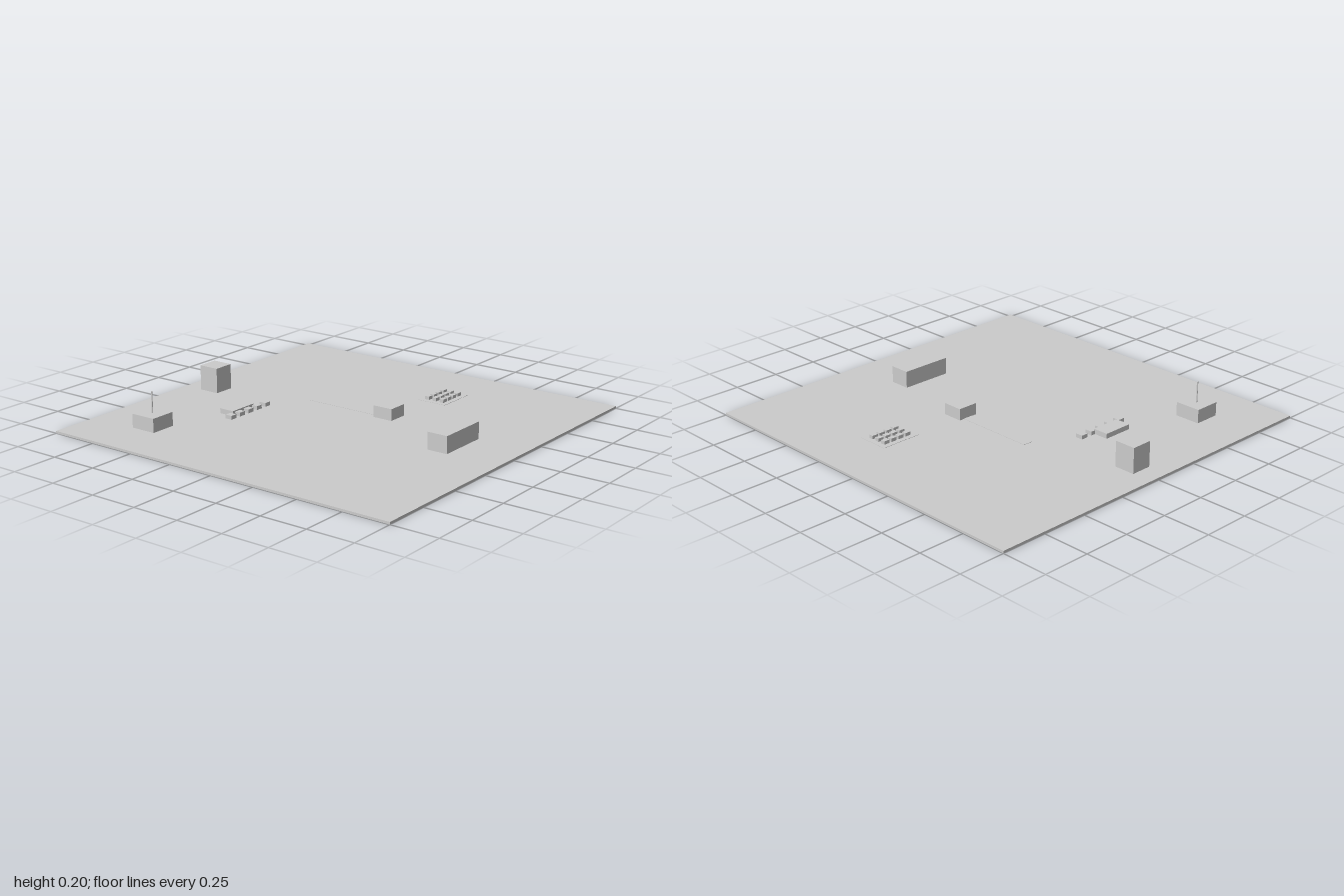
import * as THREE from 'three';

const GROUND = 0.012; // top of the ground slab

export function createModel() {
  const model = new THREE.Group();
  const material = new THREE.MeshStandardMaterial({ color: 0xcccccc, flatShading: true });

  // Box standing on height y0, centred on (x, z), reaching up to height top
  function block(name, x, z, width, depth, top, y0 = GROUND, parent = model) {
    const mesh = new THREE.Mesh(new THREE.BoxGeometry(width, top - y0, depth), material);
    mesh.name = name;
    mesh.position.set(x, (top + y0) / 2, z);
    parent.add(mesh);
    return mesh;
  }

  // Ground slab
  block('ground', 0, 0, 2, 2, GROUND, 0);

  // Large buildings
  block('longHall', 0, 0.662, 0.277, 0.11, 0.101);
  block('backTower', 0, -0.836, 0.112, 0.112, 0.145);
  block('centreBuilding', 0.167, 0.166, 0.11, 0.11, 0.073);

  // Radio building with a thin mast on its roof
  const radio = new THREE.Group();
  radio.name = 'radioBuilding';
  model.add(radio);
  block('radioHouse', -0.667, -0.667, 0.139, 0.139, 0.084, GROUND, radio);
  const mast = new THREE.Mesh(new THREE.CylinderGeometry(0.0035, 0.0035, 0.111, 8), material);
  mast.name = 'mast';
  mast.position.set(-0.667, 0.1395, -0.667);
  radio.add(mast);

  // Low hall with a row of five small huts in front
  const camp = new THREE.Group();
  camp.name = 'camp';
  model.add(camp);
  block('lowHall', -0.222, -0.502, 0.162, 0.084, 0.038, GROUND, camp);
  for (let i = 0; i < 5; i++) {
    block('hut', -0.333 + i * 0.0663, -0.447, 0.037, 0.039, 0.032, GROUND, camp);
  }

  // Very thin road leading back from the centre building
  block('road', 0.167, -0.085, 0.056, 0.46, GROUND + 0.0015);

  // Parking pad with four by three parked vehicles
  const parking = new THREE.Group();
  parking.name = 'parking';
  model.add(parking);
  block('parkingPad', 0.593, 0.21, 0.22, 0.165, GROUND + 0.0015, GROUND, parking);
  for (let row = 0; row < 3; row++) {
    for (let col = 0; col < 4; col++) {
      block('vehicle', 0.5265 + col * 0.0445, 0.166 + row * 0.044, 0.033, 0.024, 0.031, GROUND, parking);
    }
  }

  return model;
}
